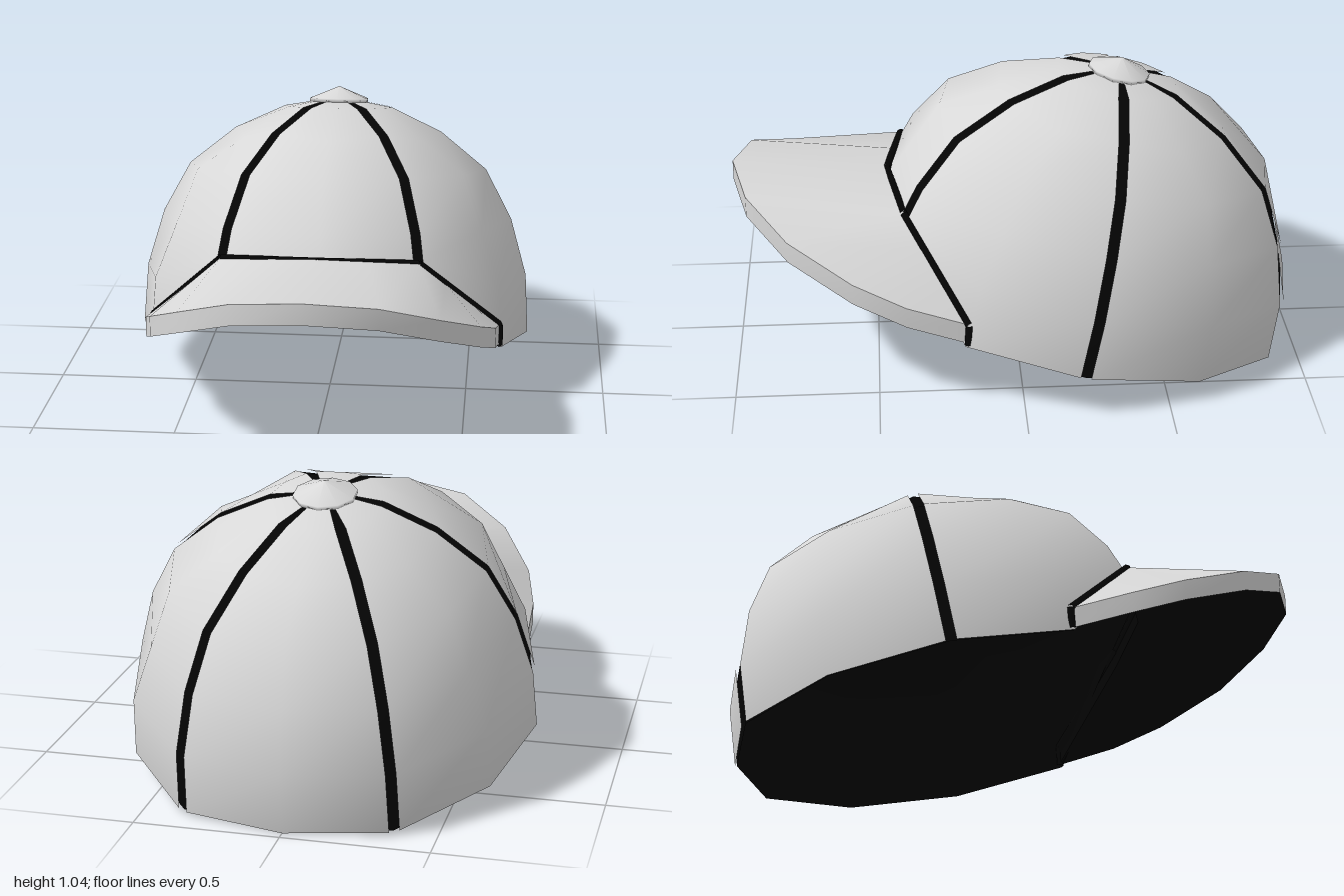
import * as THREE from 'three';

const fabric = new THREE.MeshStandardMaterial({ color: 0xd8d8d8 });
fabric.name = 'light grey fabric';
const lining = new THREE.MeshStandardMaterial({ color: 0x040404, side: THREE.DoubleSide });
lining.name = 'black lining';

const TILT = 0.206;
const A = 0.72, B = 0.86, C = 0.825;

// Dome profile as [relative radius, height]; panel centres skip every other point
const seamProfile = [[1, 0], [0.983, 0.213], [0.9, 0.42], [0.765, 0.6], [0.53, 0.735], [0.275, 0.82], [0, 0.855]];
const centreProfile = seamProfile.map((p, i) => {
  if (i !== 2 && i !== 4) return p;
  const a = seamProfile[i - 1], b = seamProfile[i + 1];
  return [(a[0] + b[0]) / 2, (a[1] + b[1]) / 2];
});

// Surface through rows of points
function sheet(name, rows, material, normalOf) {
  const n = rows[0].length, index = [];
  for (let i = 0; i < rows.length - 1; i++) {
    for (let j = 0; j < n - 1; j++) {
      const a = i * n + j, b = a + n;
      index.push(a, b, b + 1, a, b + 1, a + 1);
    }
  }
  const geometry = new THREE.BufferGeometry().setFromPoints(rows.flat());
  geometry.setIndex(index);
  geometry.computeVertexNormals();
  if (normalOf) {
    const normals = rows.flat().flatMap((p) => normalOf(p).toArray());
    geometry.setAttribute('normal', new THREE.Float32BufferAttribute(normals, 3));
  }
  const mesh = new THREE.Mesh(geometry, material);
  mesh.name = name;
  return mesh;
}

function radiusAt(profile, y) {
  for (let i = 0; i < profile.length - 1; i++) {
    const [r0, y0] = profile[i], [r1, y1] = profile[i + 1];
    if (y <= y1) return r0 + (r1 - r0) * (y - y0) / (y1 - y0);
  }
  return 0;
}

// One line of the dome from rim to crown; step 0 faces front, 30 degrees per step
function meridian(step, shift = 0, scale = 1) {
  const angle = step * Math.PI / 6;
  const profile = step % 2 === 0 ? centreProfile : seamProfile;
  const start = Math.abs(step) <= 1 || step === 11 || step === 12 ? 0.32 : 0;
  const depth = C * (step % 6 === 0 ? 0.95 : 1);
  return profile.map(([, height], j) => {
    const y = height + (start ? Math.max(0, start - height) + (j === 1 ? 0.01 : 0) * (height < start) : 0);
    const r = radiusAt(profile, y);
    const side = Math.sign(shift) * Math.min(Math.abs(shift), r * 0.25);
    return new THREE.Vector3(
      A * r * Math.sin(angle) + side * Math.cos(angle),
      y,
      depth * r * Math.cos(angle) - side * Math.sin(angle)
    ).multiplyScalar(scale);
  });
}

const domeNormal = (p) => new THREE.Vector3(p.x / A ** 2, p.y / B ** 2, p.z / C ** 2).normalize();

function createCrown() {
  const crown = new THREE.Group();
  crown.name = 'crown';
  // Six panels with narrow gaps that show the lining as seams
  const gap = 0.018;
  for (let k = 0; k < 6; k++) {
    const s = k * 2;
    crown.add(sheet('crownPanel', [meridian(s - 1, gap), meridian(s), meridian(s + 1, -gap)], fabric, domeNormal));
  }
  const rows = [];
  for (let s = 0; s <= 12; s++) rows.push(meridian(s, 0, 0.991));
  crown.add(sheet('innerLining', rows, lining));

  // Button on the crown
  const button = new THREE.Mesh(new THREE.LatheGeometry([
    new THREE.Vector2(0, 0.83), new THREE.Vector2(0.11, 0.835),
    new THREE.Vector2(0.11, 0.85), new THREE.Vector2(0, 0.894)
  ], 10), fabric);
  button.name = 'topButton';
  crown.add(button);

  crown.position.set(0, 0.165, -0.2);
  crown.rotation.x = -TILT;
  return crown;
}

function createBrim() {
  const brim = new THREE.Group();
  brim.name = 'brim';
  const V = (x, y, z) => new THREE.Vector3(x, y, z);
  // Left half, from the side corner to the middle
  const outer = [V(0.617, 0.33, 0.19), V(0.607, 0.395, 0.4), V(0.56, 0.465, 0.58),
    V(0.43, 0.565, 0.8), V(0.24, 0.65, 0.945), V(0, 0.68, 1)];
  const corner = V(0.615, 0.33, 0.19), shoulder = V(0.34, 0.622, 0.4), middle = V(0, 0.645, 0.46);
  const inner = [corner, corner.clone().lerp(shoulder, 0.33), corner.clone().lerp(shoulder, 0.67),
    shoulder, shoulder.clone().lerp(middle, 0.5), middle];
  const mirror = (half) => half.concat(half.slice(0, -1).reverse().map((p) => V(-p.x, p.y, p.z)));
  const lower = (line) => line.map((p) => V(p.x, p.y - 0.073, p.z));
  const innerTop = mirror(inner), outerTop = mirror(outer);
  const innerBase = lower(innerTop), outerBase = lower(outerTop);
  const between = (a, b) => a.map((p, i) => [p, b[i]]);

  brim.add(
    sheet('brimTop', between(innerTop, outerTop), fabric),
    sheet('brimEdge', between(outerTop, outerBase), fabric),
    sheet('brimUnderside', between(outerBase, innerBase), lining),
    sheet('brimInnerEdge', between(innerBase, innerTop), lining)
  );

  // Seam where the brim meets the crown
  const seam = mirror([V(0.618, 0.255, 0.195), V(0.618, 0.33, 0.19), V(0.34, 0.62, 0.4), V(0, 0.637, 0.455)]);
  for (let i = 0; i < seam.length - 1; i++) {
    const part = new THREE.Mesh(
      new THREE.TubeGeometry(new THREE.LineCurve3(seam[i], seam[i + 1]), 1, 0.013, 6), lining);
    part.name = 'brimSeam';
    brim.add(part);
  }
  return brim;
}

export function createModel() {
  const cap = new THREE.Group();
  cap.name = 'cap';
  cap.add(createCrown(), createBrim());
  return cap;
}
